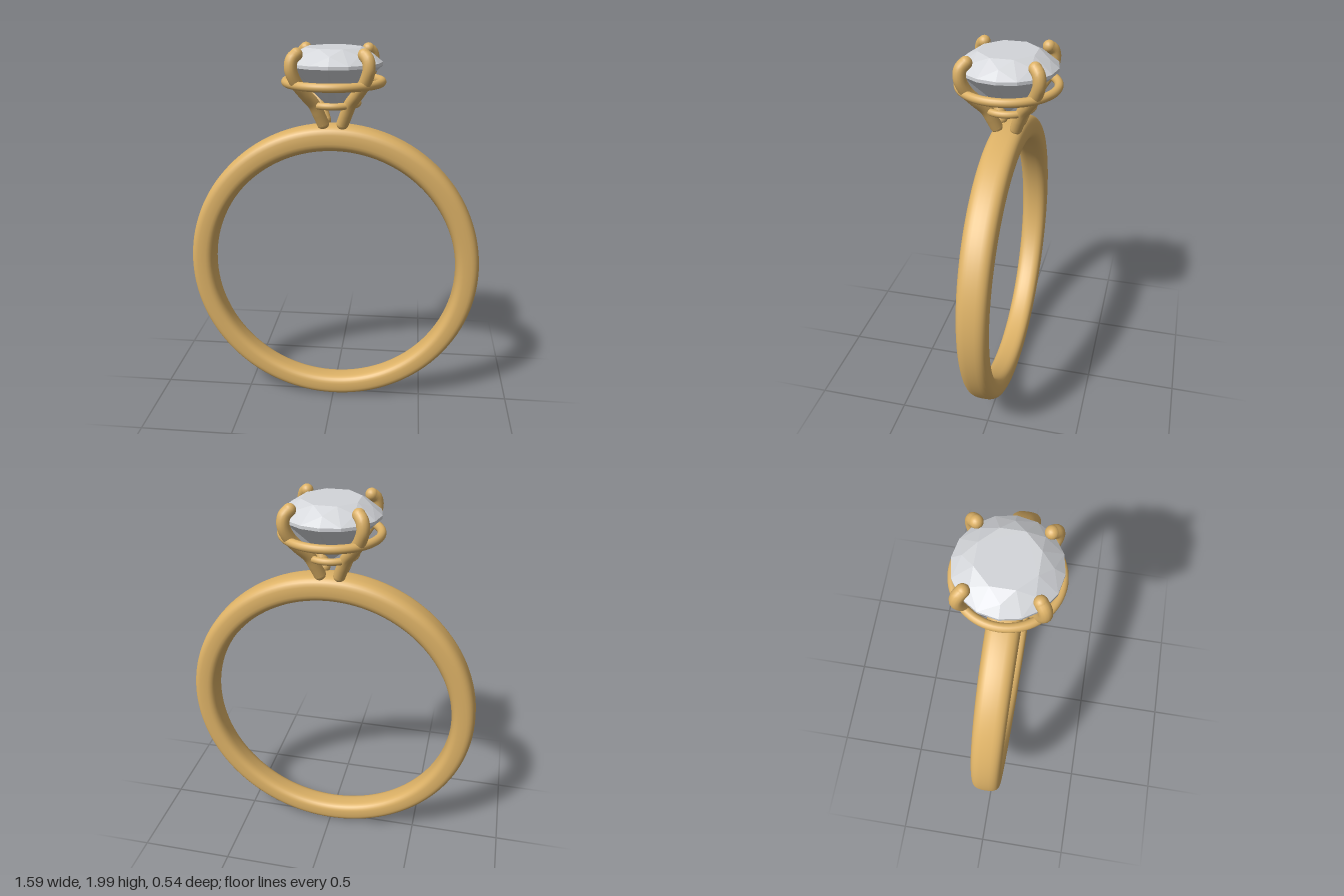
import * as THREE from 'three';
import { ConvexGeometry } from 'three/addons/geometries/ConvexGeometry.js';

const gold = new THREE.MeshStandardMaterial({ color: 0xdcb166 });
gold.name = 'gold';
const crystal = new THREE.MeshStandardMaterial({ color: 0xd3d5d9 });
crystal.name = 'crystal';

// Tapered band: a soft rectangular section swept between an outer and an inner circle
function bandGeometry(segments = 128, sides = 32) {
  const pos = [], index = [];
  const soften = (v) => Math.sign(v) * Math.pow(Math.abs(v), 0.68);
  for (let i = 0; i < segments; i++) {
    const a = (i / segments) * Math.PI * 2;
    const c = Math.cos(a), s = Math.sin(a);
    const halfWidth = 0.0765 + 0.0085 * s;
    for (let j = 0; j < sides; j++) {
      const b = (j / sides) * Math.PI * 2;
      const t = (1 + soften(Math.cos(b))) / 2;
      const r = THREE.MathUtils.lerp(0.67, 0.797, t);
      const cy = THREE.MathUtils.lerp(0.79, 0.803, t);
      pos.push(c * r, cy + s * r, halfWidth * soften(Math.sin(b)));
      const i2 = (i + 1) % segments, j2 = (j + 1) % sides;
      const p = i * sides + j, q = i2 * sides + j;
      const p2 = i * sides + j2, q2 = i2 * sides + j2;
      index.push(p, q, q2, p, q2, p2);
    }
  }
  const g = new THREE.BufferGeometry();
  g.setAttribute('position', new THREE.Float32BufferAttribute(pos, 3));
  g.setIndex(index);
  g.computeVertexNormals();
  return g;
}

// Round brilliant stone as the hull of its facet corners
function stoneGeometry() {
  const points = [new THREE.Vector3(0, 1.67, 0)];
  const ring = (count, r, y, turn) => {
    for (let i = 0; i < count; i++) {
      const a = ((i + turn) / count) * Math.PI * 2;
      points.push(new THREE.Vector3(Math.cos(a) * r, y, Math.sin(a) * r));
    }
  };
  ring(8, 0.15, 1.99, 0.5);    // table
  ring(8, 0.2, 1.959, 0);      // crown
  ring(16, 0.25, 1.918, 0);    // girdle
  ring(16, 0.25, 1.902, 0);
  ring(8, 0.065, 1.724, 0.5);  // pavilion
  return new ConvexGeometry(points);
}

export function createModel() {
  const model = new THREE.Group();
  const add = (name, geometry, material, parent = model) => {
    const mesh = new THREE.Mesh(geometry, material);
    mesh.name = name;
    parent.add(mesh);
    return mesh;
  };

  add('band', bandGeometry(), gold);
  add('stone', stoneGeometry(), crystal);

  // Two rails around the setting
  for (const [name, radius, tube, y] of [
    ['upperRail', 0.247, 0.022, 1.818],
    ['lowerRail', 0.125, 0.018, 1.708],
  ]) {
    const rail = add(name, new THREE.TorusGeometry(radius, tube, 16, 72), gold);
    rail.rotation.x = Math.PI / 2;
    rail.position.y = y;
  }

  // Four curved prongs with rounded ends: [distance from axis, height]
  const path = [
    [0.072, 1.61], [0.098, 1.66], [0.13, 1.715], [0.19, 1.775],
    [0.242, 1.835], [0.27, 1.9], [0.262, 1.945], [0.234, 1.967],
  ].map(([r, y]) => new THREE.Vector3(r, y, 0));
  const prongTube = new THREE.TubeGeometry(new THREE.CatmullRomCurve3(path), 40, 0.032, 14);
  const prongEnd = new THREE.SphereGeometry(0.032, 16, 12);
  for (let i = 0; i < 4; i++) {
    const prong = new THREE.Group();
    prong.name = 'prong' + (i + 1);
    prong.rotation.y = Math.PI / 4 + (i * Math.PI) / 2;
    add('prongStem', prongTube, gold, prong);
    add('prongFoot', prongEnd, gold, prong).position.copy(path[0]);
    add('prongTip', prongEnd, gold, prong).position.copy(path[path.length - 1]);
    model.add(prong);
  }
  return model;
}
